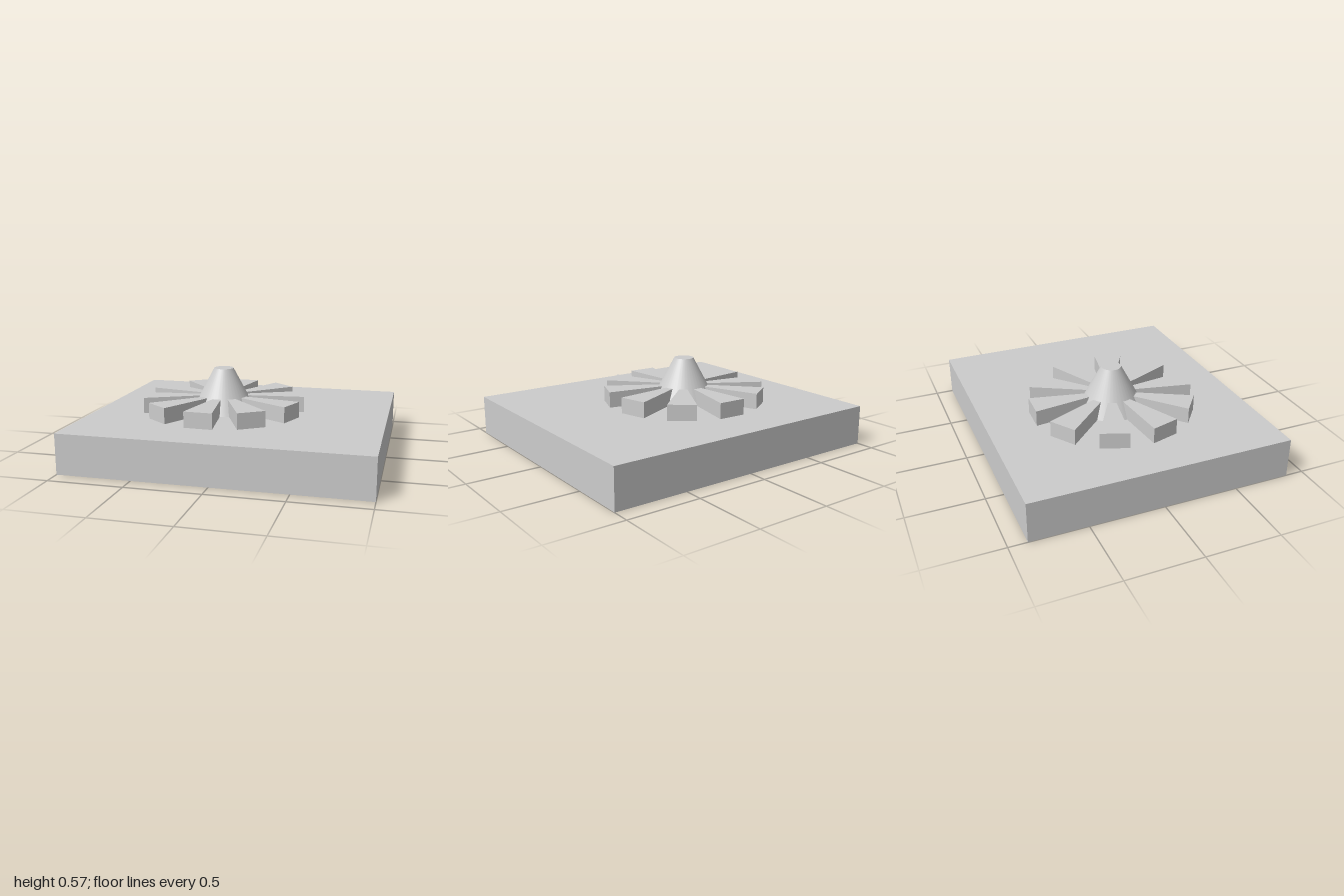
import * as THREE from 'three';

export function createModel() {
  const model = new THREE.Group();
  const grey = new THREE.MeshStandardMaterial({ color: 0xcccccc });
  grey.name = 'light grey';

  const baseTop = 0.27, bladeTop = 0.378, coneTop = 0.57;

  // Square slab
  const base = new THREE.Mesh(new THREE.BoxGeometry(2, baseTop, 1.76), grey);
  base.name = 'base';
  base.position.y = baseTop / 2;
  model.add(base);

  // Rotor assembly, set off centre on the slab
  const rotor = new THREE.Group();
  rotor.name = 'rotor';
  rotor.position.set(-0.14, baseTop, 0);
  model.add(rotor);

  // Truncated cone hub
  const hubHeight = coneTop - baseTop;
  const hub = new THREE.Mesh(new THREE.CylinderGeometry(0.067, 0.227, hubHeight, 40), grey);
  hub.name = 'hub';
  hub.position.y = hubHeight / 2;
  rotor.add(hub);

  // Wedge blade: a radial sector with a straight outer end
  const half = THREE.MathUtils.degToRad(9.85);
  const inner = 0.08, outer = 0.564;
  const outline = new THREE.Shape([[inner, -half], [outer, -half], [outer, half], [inner, half]]
    .map(([r, a]) => new THREE.Vector2(r * Math.sin(a), r * Math.cos(a))).reverse());
  const bladeGeometry = new THREE.ExtrudeGeometry(outline, { depth: bladeTop - baseTop, bevelEnabled: false });
  bladeGeometry.rotateX(-Math.PI / 2);

  // Ten blades around the hub
  for (let i = 0; i < 10; i++) {
    const blade = new THREE.Mesh(bladeGeometry, grey);
    blade.name = `blade${i + 1}`;
    blade.rotation.y = -THREE.MathUtils.degToRad(2.3 + i * 36);
    rotor.add(blade);
  }
  return model;
}
